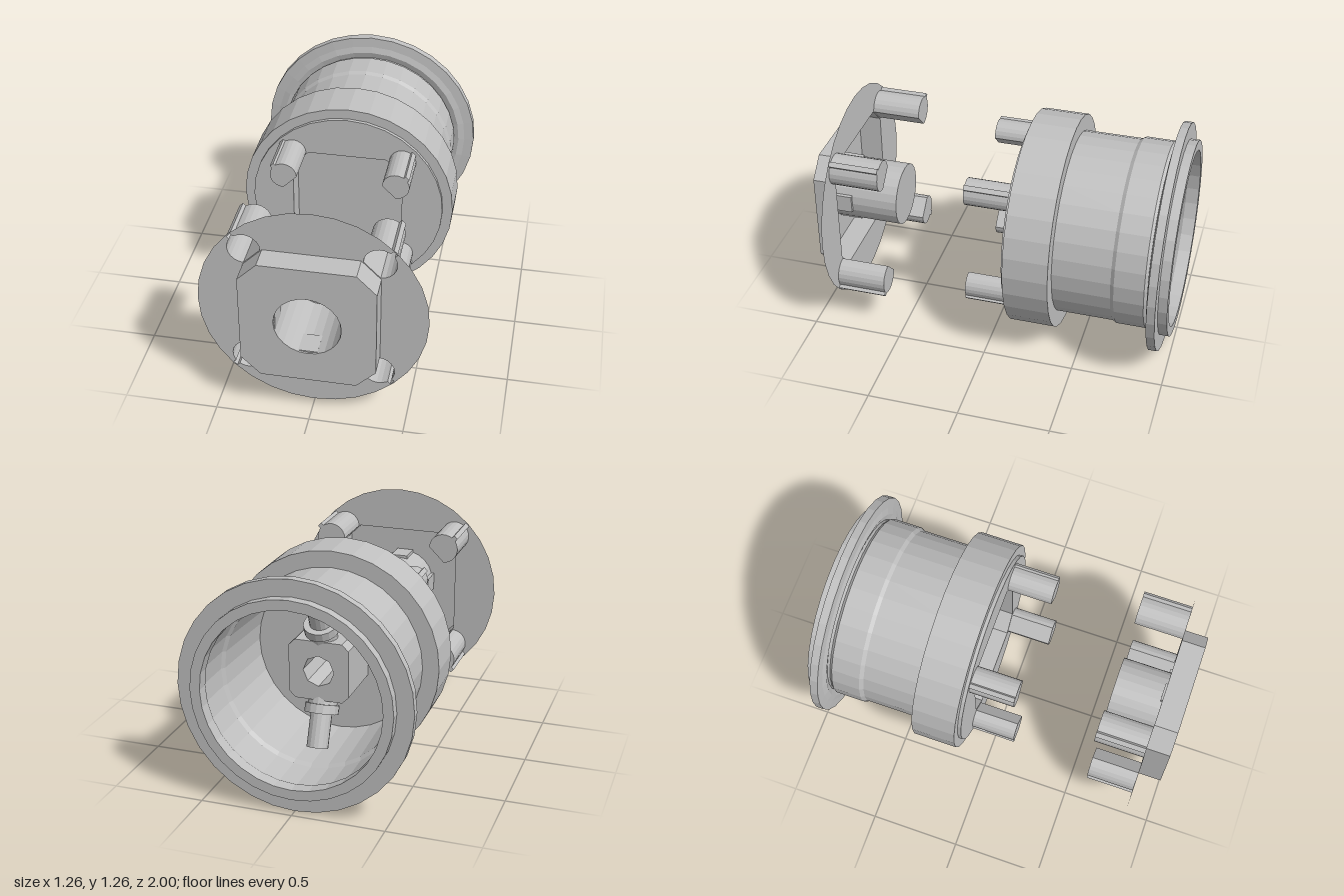
import * as THREE from 'three';

const metal = new THREE.MeshStandardMaterial({ color: 0xc0c0c0, flatShading: true, side: THREE.DoubleSide });
metal.name = 'plain grey';

const CENTRE_Y = 0.63;
const V = (x, y) => new THREE.Vector2(x, y);

function add(parent, geometry, name) {
  const mesh = new THREE.Mesh(geometry, metal);
  mesh.name = name;
  parent.add(mesh);
  return mesh;
}

// Regular ring of points, first one at the top
function ring(r, n = 32) {
  return Array.from({ length: n }, (_, i) => {
    const a = Math.PI / 2 + (i / n) * Math.PI * 2;
    return V(r * Math.cos(a), r * Math.sin(a));
  });
}

// Square with chamfered corners
function chamferedSquare(h, c) {
  return [V(h, c), V(c, h), V(-c, h), V(-h, c), V(-h, -c), V(-c, -h), V(c, -h), V(h, -c)];
}

// D-shaped pin outline: flat towards the axis, small key pointing outwards
function pinOutline(angle, centre, r, flat, key) {
  const end = Math.PI - Math.acos(flat / r);
  const pts = [];
  for (let i = 0; i <= 16; i++) {
    if (i === 8) {
      pts.push(V(r, -0.014), V(key, -0.014), V(key, 0.014), V(r, 0.014));
    } else {
      const a = -end + (i / 16) * 2 * end;
      pts.push(V(r * Math.cos(a), r * Math.sin(a)));
    }
  }
  return pts.map((p) => V(p.x + centre, p.y).rotateAround(V(0, 0), angle));
}

// Flat sheet at depth z, with optional holes
function sheet(parent, outline, holes, z, name) {
  const shape = new THREE.Shape(outline);
  holes.forEach((h) => shape.holes.push(new THREE.Path(h)));
  return add(parent, new THREE.ShapeGeometry(shape).translate(0, 0, z), name);
}

// Straight wall following an outline from z0 to z1
function wall(parent, outline, z0, z1, name) {
  const pos = [];
  outline.forEach((a, i) => {
    const b = outline[(i + 1) % outline.length];
    pos.push(a.x, a.y, z0, b.x, b.y, z0, b.x, b.y, z1, a.x, a.y, z0, b.x, b.y, z1, a.x, a.y, z1);
  });
  const g = new THREE.BufferGeometry();
  g.setAttribute('position', new THREE.Float32BufferAttribute(pos, 3));
  g.computeVertexNormals();
  return add(parent, g, name);
}

const corners = [1, 3, 5, 7].map((k) => (k * Math.PI) / 4);

// Front cap: thin formed sheet with raised block, central socket and hollow pins
function makeCap() {
  const cap = new THREE.Group();
  cap.name = 'frontCap';
  const block = chamferedSquare(0.352, 0.25);
  const socket = ring(0.175, 24);
  const pins = corners.map((a) => pinOutline(a, 0.488, 0.085, 0.058, 0.105));
  sheet(cap, ring(0.6), [block, ...pins], 0.87, 'capDisc');
  wall(cap, block, 0.87, 1, 'blockWall');
  sheet(cap, block, [socket], 1, 'blockFace');
  wall(cap, socket, 0.6, 1, 'socketWall');
  sheet(cap, socket, [], 0.6, 'socketEnd');
  pins.forEach((p) => {
    wall(cap, p, 0.6, 0.87, 'capPinWall');
    sheet(cap, p, [], 0.6, 'capPinEnd');
  });
  // Locking ribs on the socket wall
  for (let i = 0; i < 4; i++) {
    const g = new THREE.BoxGeometry(0.022, 0.1, 0.13).translate(0.177, 0, 0.925).rotateZ((i * Math.PI) / 2);
    add(cap, g, 'socketRib');
  }
  return cap;
}

// Drum: turned shell with flange, recessed front face and pins
function makeDrum() {
  const drum = new THREE.Group();
  drum.name = 'drum';
  const profile = [
    [0.54, -0.11], [0.54, -0.13], [0.595, -0.13], [0.595, -0.375], [0.505, -0.375],
    [0.505, -0.69], [0.517, -0.71], [0.517, -0.87], [0.505, -0.885], [0.505, -0.9],
    [0.54, -0.89], [0.575, -0.9], [0.63, -0.905], [0.63, -0.95], [0.54, -0.95], [0.54, -1],
    [0.485, -1], [0.485, -0.93], [0.495, -0.91], [0.495, -0.71], [0.48, -0.69], [0.465, -0.25], [0, -0.25],
  ].map(([r, z]) => V(r, z));
  add(drum, new THREE.LatheGeometry(profile, 32).rotateX(Math.PI / 2), 'drumShell');

  const recess = chamferedSquare(0.31, 0.22);
  sheet(drum, ring(0.54), [recess], -0.11, 'drumFace');
  wall(drum, recess, -0.24, -0.11, 'recessWall');
  sheet(drum, recess, [], -0.24, 'recessFloor');
  corners.forEach((a) => {
    const p = pinOutline(a, 0.436, 0.074, 0.052, 0.088);
    wall(drum, p, -0.11, 0.14, 'drumPinWall');
    sheet(drum, p, [], 0.14, 'drumPinEnd');
  });
  return drum;
}

// Inner housing with bored hole and two radial stems
function makeHousing() {
  const housing = new THREE.Group();
  housing.name = 'innerHousing';
  const shape = new THREE.Shape(chamferedSquare(0.165, 0.13));
  shape.holes.push(new THREE.Path(ring(0.085, 8)));
  const body = new THREE.ExtrudeGeometry(shape, { depth: 0.33, bevelEnabled: false });
  add(housing, body.translate(0, 0, -0.58), 'housingBody');
  [1, -1].forEach((side) => {
    const stem = new THREE.Group();
    stem.name = side > 0 ? 'upperStem' : 'lowerStem';
    add(stem, new THREE.CylinderGeometry(0.058, 0.058, 0.32, 16).translate(0, 0.16, 0), 'stemRod');
    add(stem, new THREE.CylinderGeometry(0.092, 0.092, 0.05, 16).translate(0, 0.11, 0), 'stemCollar');
    add(stem, new THREE.CylinderGeometry(0.078, 0.078, 0.09, 16).translate(0, 0.05, 0), 'stemBase');
    stem.position.set(0, side * 0.13, -0.49);
    stem.rotation.x = side > 0 ? -0.38 : Math.PI + 0.38;
    housing.add(stem);
  });
  return housing;
}

export function createModel() {
  const model = new THREE.Group();
  model.name = 'twoPartHub';
  model.add(makeCap(), makeDrum(), makeHousing());
  model.children.forEach((part) => { part.position.y = CENTRE_Y; });
  return model;
}
